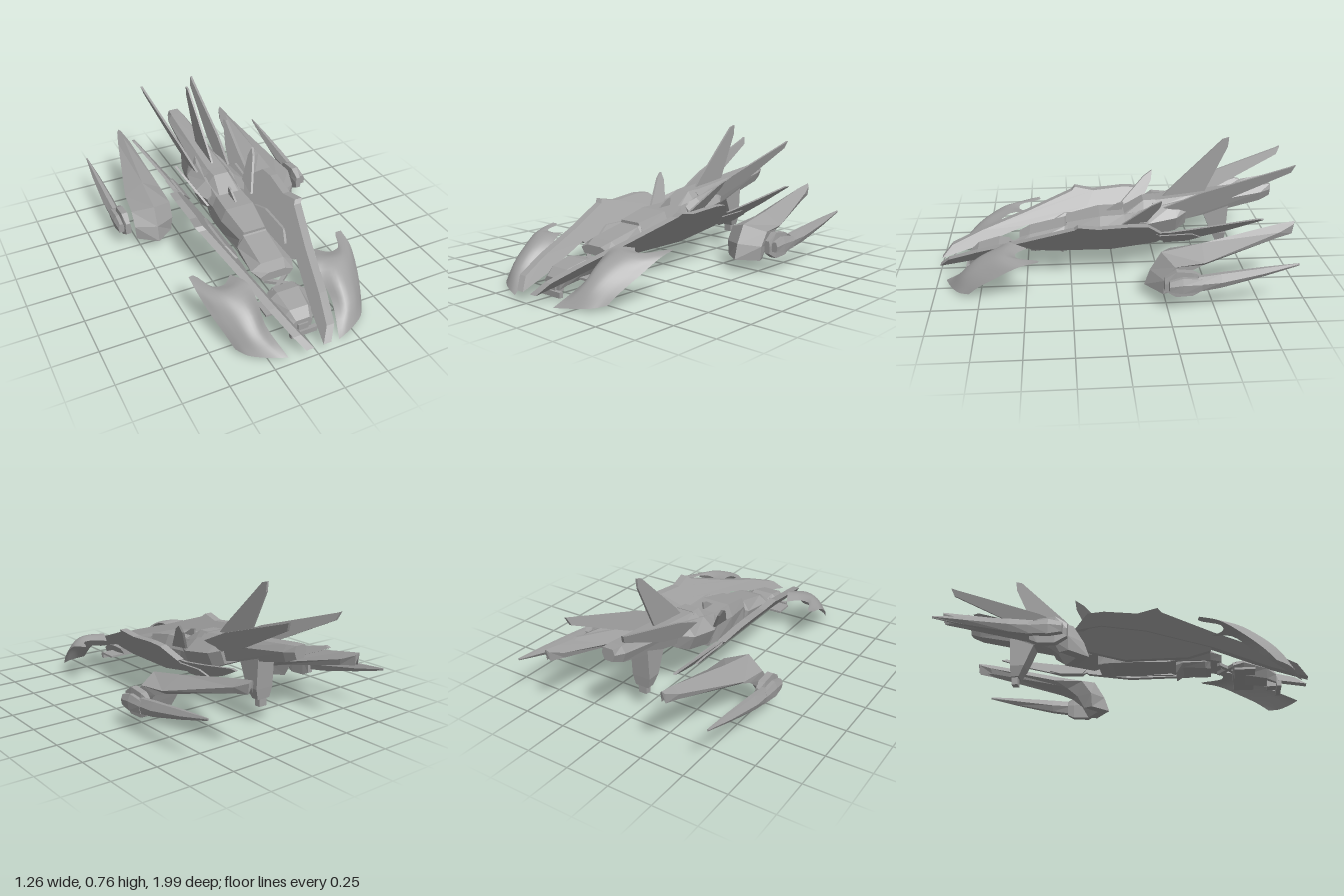
import * as THREE from 'three';

const hull = new THREE.MeshStandardMaterial({ color: 0xa0a0a0 });
hull.name = 'hull grey';
const shell = new THREE.MeshStandardMaterial({ color: 0xa0a0a0, side: THREE.DoubleSide });
shell.name = 'shell grey';

// Optionally mirrors a closed geometry, then makes its faces point outward.
function finish(geometry, side = 1) {
  const g = geometry.index ? geometry.toNonIndexed() : geometry;
  g.scale(side, 1, 1);
  const a = g.attributes.position.array;
  const [p, q, r] = [0, 0, 0].map(() => new THREE.Vector3());
  let volume = 0;
  for (let i = 0; i < a.length; i += 9) {
    volume += p.fromArray(a, i).dot(q.fromArray(a, i + 3).cross(r.fromArray(a, i + 6)));
  }
  for (let i = 0; volume < 0 && i < a.length; i += 9) {
    for (let k = 3; k < 6; k++) [a[i + k], a[i + k + 3]] = [a[i + k + 3], a[i + k]];
  }
  g.deleteAttribute('normal');
  g.computeVertexNormals();
  return g;
}

// Solid skin over a row of equal-sized rings.
function loft(rings, side) {
  const n = rings[0].length, last = (rings.length - 1) * n, index = [];
  for (let a = 0; a < last; a++) {
    const b = a % n === n - 1 ? a + 1 - n : a + 1;
    index.push(a, b, a + n, b, b + n, a + n);
  }
  for (let i = 1; i < n - 1; i++) index.push(0, i + 1, i, last, last + i, last + i + 1);
  const g = new THREE.BufferGeometry();
  g.setAttribute('position', new THREE.Float32BufferAttribute(rings.flat(2), 3));
  g.setIndex(index);
  return finish(g, side);
}

// Six-sided ring: z, three half-widths and three heights (top, middle, bottom).
const hex = (cx) => ([z, wt, wm, wb, yt, ym, yb]) => [
  [cx + wt, yt, z], [cx + wm, ym, z], [cx + wb, yb, z],
  [cx - wb, yb, z], [cx - wm, ym, z], [cx - wt, yt, z]];

// Ridged ring with a grooved underside: ridge, side and underside in z and y.
const ridged = ([cx, w, rz, ry, sz, sy, uz, uy]) => [
  [cx, ry, rz], [cx + w, sy, sz], [cx + w * 0.8, uy, uz],
  [cx, (ry + uy) / 2, (rz + uz) / 2], [cx - w * 0.8, uy, uz], [cx - w, sy, sz]];

// Plate outlined in (z, y), leaning along x = x0 + slope * (y - y0).
function plate(outline, x0, y0, slope, thick, side) {
  const g = new THREE.ExtrudeGeometry(
    new THREE.Shape(outline.map(([z, y]) => new THREE.Vector2(z, y))),
    { depth: thick, bevelEnabled: false });
  const p = g.attributes.position;
  for (let i = 0; i < p.count; i++) {
    const z = p.getX(i), y = p.getY(i);
    p.setXYZ(i, x0 + slope * (y - y0) + p.getZ(i) - thick / 2, y, z);
  }
  return finish(g, side);
}

// Smooth open surface through a grid of points.
function patch(rows, n, side) {
  const curve = (pts) => new THREE.CatmullRomCurve3(pts);
  const lines = rows.map((r) => curve(r.map(([x, y, z]) => new THREE.Vector3(x * side, y, z))));
  const pos = [], index = [];
  for (let i = 0; i <= n; i++) {
    const across = curve(lines.map((l) => l.getPoint(i / n)));
    for (let j = 0; j <= n; j++) {
      pos.push(...across.getPoint(j / n).toArray());
      if (i === n || j === n) continue;
      const a = i * (n + 1) + j, b = a + n + 1;
      if (side > 0) index.push(a, a + 1, b, b, a + 1, b + 1);
      else index.push(a, b, a + 1, b, b + 1, a + 1);
    }
  }
  const g = new THREE.BufferGeometry();
  g.setAttribute('position', new THREE.Float32BufferAttribute(pos, 3));
  g.setIndex(index);
  g.computeVertexNormals();
  return g;
}

export function createModel() {
  const model = new THREE.Group();
  model.name = 'craft';
  const add = (name, geometry, material = hull) => {
    const m = new THREE.Mesh(geometry, material);
    m.name = name;
    model.add(m);
  };
  const body = (name, sections, cx = 0, side = 1) => add(name, loft(sections.map(hex(cx)), side));
  const box = (name, w, h, d, y, z) => add(name, new THREE.BoxGeometry(w, h, d).translate(0, y, z));

  // Central hull, from the front deck back to the tail boom
  body('frontDeck', [
    [0.54, 0.05, 0.10, 0.08, 0.21, 0.19, 0.16], [0.48, 0.07, 0.125, 0.10, 0.235, 0.20, 0.165],
    [0.28, 0.07, 0.11, 0.10, 0.28, 0.22, 0.17], [0.26, 0.07, 0.095, 0.09, 0.29, 0.23, 0.17]]);
  body('cockpit', [
    [0.27, 0.065, 0.085, 0.085, 0.30, 0.25, 0.17], [0.08, 0.085, 0.115, 0.10, 0.34, 0.27, 0.17],
    [-0.06, 0.08, 0.105, 0.10, 0.345, 0.28, 0.17], [-0.14, 0.08, 0.12, 0.09, 0.36, 0.29, 0.175]]);
  body('shoulders', [
    [-0.10, 0.07, 0.12, 0.09, 0.35, 0.31, 0.23], [-0.19, 0.09, 0.165, 0.12, 0.38, 0.32, 0.22],
    [-0.35, 0.08, 0.14, 0.10, 0.41, 0.34, 0.25], [-0.41, 0.06, 0.10, 0.07, 0.42, 0.36, 0.28]]);
  body('cowl', [
    [-0.06, 0.06, 0.075, 0.07, 0.345, 0.34, 0.32], [-0.17, 0.045, 0.09, 0.10, 0.415, 0.36, 0.32],
    [-0.24, 0.05, 0.09, 0.10, 0.42, 0.37, 0.33]]);
  body('tailBoom', [
    [-0.22, 0.05, 0.09, 0.08, 0.415, 0.38, 0.28], [-0.42, 0.045, 0.085, 0.06, 0.435, 0.39, 0.30],
    [-0.84, 0.035, 0.06, 0.04, 0.485, 0.45, 0.395], [-0.90, 0.03, 0.04, 0.025, 0.49, 0.46, 0.42]]);
  body('rearKeel', [
    [0.02, 0.09, 0.09, 0.08, 0.24, 0.21, 0.175], [-0.14, 0.09, 0.10, 0.09, 0.25, 0.22, 0.17]]);
  body('chin', [
    [0.48, 0.08, 0.08, 0.06, 0.18, 0.17, 0.13], [0.45, 0.09, 0.09, 0.07, 0.18, 0.16, 0.13],
    [0.33, 0.09, 0.09, 0.07, 0.18, 0.16, 0.14], [0.29, 0.08, 0.08, 0.06, 0.18, 0.15, 0.11]]);

  // Hanging tail block with a small foot
  add('ventralBlock', loft([
    [[0.055, 0.37, -0.50], [0.055, 0.40, -0.66], [-0.055, 0.40, -0.66], [-0.055, 0.37, -0.50]],
    [[0.055, 0.20, -0.57], [0.055, 0.20, -0.65], [-0.055, 0.20, -0.65], [-0.055, 0.20, -0.57]],
    [[0.04, 0.14, -0.60], [0.04, 0.14, -0.645], [-0.04, 0.14, -0.645], [-0.04, 0.14, -0.60]]]));
  box('ventralFoot', 0.05, 0.045, 0.035, 0.12, -0.625);

  // Nose unit with winglets and front bar
  body('nose', [
    [0.83, 0.04, 0.06, 0.05, 0.10, 0.08, 0.04], [0.78, 0.055, 0.08, 0.06, 0.14, 0.11, 0.06],
    [0.66, 0.065, 0.105, 0.07, 0.17, 0.14, 0.08], [0.60, 0.06, 0.09, 0.06, 0.16, 0.13, 0.09]]);
  box('noseWinglets', 0.31, 0.012, 0.11, 0.085, 0.66);
  box('frontBar', 0.155, 0.03, 0.025, 0.024, 0.84);
  box('barMount', 0.06, 0.05, 0.06, 0.05, 0.81);

  // Centre fins
  add('dorsalFin', plate([[-0.25, 0.38], [-0.34, 0.48], [-0.62, 0.755], [-0.655, 0.765],
    [-0.65, 0.71], [-0.52, 0.43]], 0, 0, 0, 0.012, 1));
  add('deckFin', plate([[0.07, 0.32], [-0.03, 0.385], [-0.06, 0.39], [-0.05, 0.33]], 0, 0, 0, 0.012, 1));

  for (const side of [1, -1]) {
    const s = side > 0 ? 'left' : 'right';

    // Crossing struts between nose and deck
    add(s + 'NoseStrut', new THREE.BoxGeometry(0.022, 0.018, 0.17).rotateY(side * 0.9).translate(0, 0.15, 0.575));

    // Leaning side panel, long rail and rear spar
    add(s + 'SidePanel', plate([[0.51, 0.25], [0.22, 0.345], [-0.05, 0.35], [-0.28, 0.27],
      [-0.23, 0.22], [-0.05, 0.18], [0.02, 0.165], [0.36, 0.165], [0.48, 0.19]], 0.05, 0.06, 0.8, 0.03, side));
    add(s + 'InnerPanel', plate([[0.36, 0.215], [0.28, 0.255], [0.06, 0.255], [-0.04, 0.23],
      [0.02, 0.18], [0.26, 0.17]], 0.033, 0.06, 0.8, 0.025, side));
    add(s + 'Rail', plate([[0.997, 0.055], [0.94, 0.115], [0.77, 0.18], [0.50, 0.265], [0.23, 0.36], [0.21, 0.38],
      [0.10, 0.36], [-0.08, 0.375], [-0.17, 0.37], [-0.25, 0.30], [-0.10, 0.315], [0.14, 0.285],
      [0.50, 0.20], [0.80, 0.105]], 0.054, 0.06, 0.8, 0.045, side));
    add(s + 'RearSpar', plate([[-0.10, 0.30], [-0.30, 0.30], [-0.48, 0.335], [-0.77, 0.40],
      [-0.80, 0.395], [-0.62, 0.31], [-0.46, 0.25], [-0.28, 0.22]], 0.05, 0.06, 0.8, 0.018, side));
    add(s + 'SparRoot', plate([[-0.24, 0.28], [-0.42, 0.29], [-0.47, 0.26], [-0.40, 0.23],
      [-0.27, 0.22]], 0.05, 0.06, 0.8, 0.045, side));

    // Swept tail fin and short shoulder fin
    add(s + 'TailFin', plate([[-0.28, 0.39], [-0.48, 0.48], [-0.97, 0.64], [-0.995, 0.65],
      [-0.975, 0.605], [-0.60, 0.42], [-0.42, 0.36]], 0.105, 0.4, 0.27, 0.014, side));
    add(s + 'ShoulderFin', plate([[-0.04, 0.31], [-0.20, 0.46], [-0.25, 0.49], [-0.245, 0.445],
      [-0.18, 0.33]], 0.14, 0.31, 0.61, 0.014, side));

    // Curved front fender with a rear hook
    add(s + 'Fender', patch([
      [[0.255, 0.235, 0.49], [0.32, 0.235, 0.55], [0.38, 0.238, 0.54], [0.436, 0.245, 0.425], [0.467, 0.25, 0.43]],
      [[0.21, 0.25, 0.60], [0.28, 0.25, 0.62], [0.35, 0.245, 0.63], [0.42, 0.23, 0.59], [0.465, 0.225, 0.53]],
      [[0.195, 0.18, 0.70], [0.26, 0.20, 0.745], [0.33, 0.185, 0.745], [0.39, 0.16, 0.71], [0.44, 0.155, 0.65]],
      [[0.20, 0.11, 0.79], [0.25, 0.115, 0.84], [0.31, 0.11, 0.835], [0.36, 0.095, 0.80], [0.405, 0.085, 0.75]],
      [[0.15, 0.003, 0.955], [0.21, 0.008, 0.935], [0.28, 0.015, 0.905], [0.34, 0.02, 0.865], [0.38, 0.03, 0.81]],
    ], 16, side), shell);

    // Rear pod: long ridged blade that bends down into a hood
    add(s + 'Pod', loft([
      [0.36, 0.014, -0.96, 0.40, -0.95, 0.385, -0.945, 0.33],
      [0.36, 0.038, -0.87, 0.385, -0.87, 0.35, -0.86, 0.315],
      [0.395, 0.112, -0.45, 0.30, -0.45, 0.235, -0.45, 0.215],
      [0.405, 0.12, -0.23, 0.26, -0.29, 0.225, -0.38, 0.19],
      [0.41, 0.118, -0.17, 0.16, -0.235, 0.15, -0.32, 0.14],
      [0.415, 0.11, -0.14, 0.075, -0.23, 0.07, -0.28, 0.07]].map(ridged), side));

    // Outer pod with side fairing and blade
    body(s + 'OuterPod', [
      [-0.23, 0.012, 0.018, 0.015, 0.19, 0.16, 0.12], [-0.29, 0.018, 0.022, 0.02, 0.23, 0.17, 0.085],
      [-0.38, 0.018, 0.022, 0.02, 0.22, 0.17, 0.09], [-0.42, 0.01, 0.02, 0.015, 0.20, 0.17, 0.11]], 0.57, side);
    body(s + 'OuterFairing', [
      [-0.25, 0.01, 0.02, 0.015, 0.185, 0.16, 0.13], [-0.32, 0.01, 0.025, 0.02, 0.205, 0.17, 0.12],
      [-0.42, 0.01, 0.022, 0.015, 0.195, 0.17, 0.13]], 0.605, side);
    body(s + 'OuterBlade', [
      [-0.40, 0.012, 0.03, 0.02, 0.205, 0.17, 0.125], [-0.52, 0.012, 0.034, 0.02, 0.22, 0.18, 0.145],
      [-0.75, 0.008, 0.022, 0.01, 0.245, 0.22, 0.20], [-0.93, 0.002, 0.004, 0.002, 0.262, 0.257, 0.25]], 0.595, side);
  }
  return model;
}
